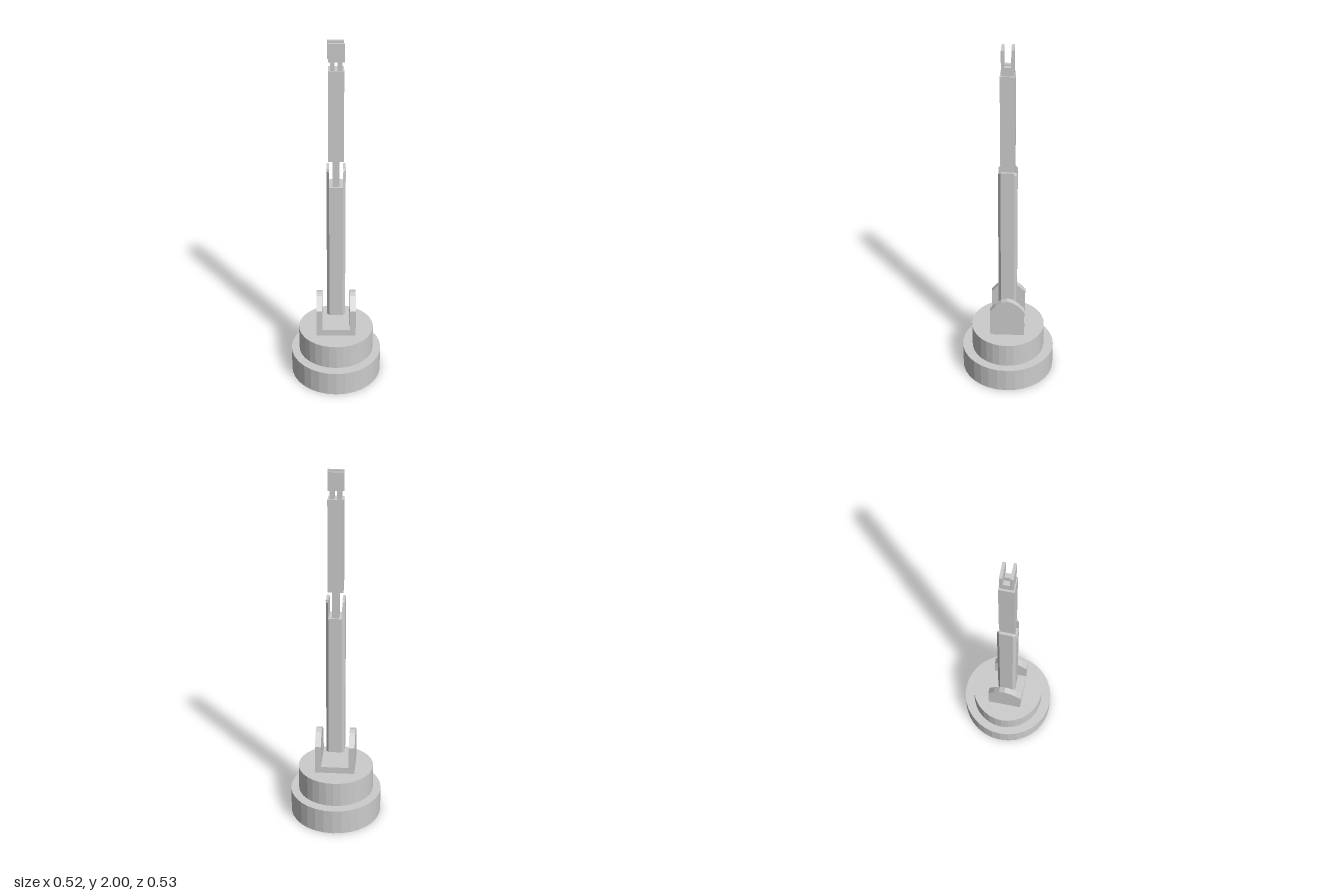
import * as THREE from 'three';

const material = new THREE.MeshStandardMaterial({ color: 0xcccccc, flatShading: true });

function add(parent, name, geometry, x = 0, y = 0, z = 0) {
  const mesh = new THREE.Mesh(geometry, material);
  mesh.name = name;
  mesh.position.set(x, y, z);
  parent.add(mesh);
  return mesh;
}

// Box given by its lower and upper corners
function block(parent, name, [x0, y0, z0], [x1, y1, z1]) {
  return add(parent, name, new THREE.BoxGeometry(x1 - x0, y1 - y0, z1 - z0),
    (x0 + x1) / 2, (y0 + y1) / 2, (z0 + z1) / 2);
}

function extrude(points, depth) {
  const shape = new THREE.Shape(points.map(([a, b]) => new THREE.Vector2(a, b)));
  return new THREE.ExtrudeGeometry(shape, { depth, bevelEnabled: false });
}

// Side profile in (z, y), extruded along x between x0 and x1
function sidePlate(points, x0, x1) {
  return extrude(points.map(([z, y]) => [-z, y]), x1 - x0).rotateY(Math.PI / 2).translate(x0, 0, 0);
}

export function createModel() {
  const model = new THREE.Group();
  model.name = 'jointedArm';

  // Stepped round base
  const lower = add(model, 'baseDisc', new THREE.CylinderGeometry(1, 1, 0.145, 32), 0, 0.0725);
  lower.scale.set(0.258, 1, 0.264);
  const turntable = add(model, 'turntable', new THREE.CylinderGeometry(1, 1, 0.145, 32), 0, 0.2175);
  turntable.scale.set(0.213, 1, 0.208);

  // Shoulder bracket: floor and two round-topped cheeks
  const bracket = new THREE.Group();
  bracket.name = 'shoulderBracket';
  model.add(bracket);
  block(bracket, 'bracketFloor', [-0.078, 0.29, -0.096], [0.078, 0.327, 0.096]);
  const arc = [[0.096, 0.455], [0.065, 0.491], [0.032, 0.516], [0, 0.525]];
  const cheek = [[-0.096, 0.29], [0.096, 0.29], ...arc,
    ...arc.slice(0, 3).reverse().map(([z, y]) => [-z, y])];
  for (const x of [-0.111, 0.078]) {
    add(bracket, 'bracketCheek', sidePlate(cheek, x, x + 0.033));
  }

  // Lower arm: bar with chamfered long edges
  const lowerArm = new THREE.Group();
  lowerArm.name = 'lowerArm';
  model.add(lowerArm);
  const w = 0.051, c = 0.037;
  const section = [[w, -c], [w, c], [c, w], [-c, w], [-w, c], [-w, -c], [-c, -w], [c, -w]];
  add(lowerArm, 'lowerArmBar', extrude(section, 0.815).rotateX(-Math.PI / 2), 0, 0.4);

  // Elbow ears: the outer face narrows to follow the bar's chamfers
  const ear = [[-w, 1.215], [w, 1.215], [w, 1.305], [c, 1.318], [-c, 1.318], [-w, 1.305]];
  for (const side of [1, -1]) {
    const geometry = side > 0 ? sidePlate(ear, c, w) : sidePlate(ear, -w, -c);
    const p = geometry.attributes.position;
    for (let i = 0; i < p.count; i++) {
      if (Math.abs(p.getX(i)) > 0.045) p.setZ(i, THREE.MathUtils.clamp(p.getZ(i), -c, c));
    }
    geometry.computeVertexNormals();
    add(lowerArm, 'elbowEar', geometry);
  }

  // Upper arm with its elbow tongue
  const upperArm = new THREE.Group();
  upperArm.name = 'upperArm';
  model.add(upperArm);
  block(upperArm, 'elbowTongue', [-0.019, 1.215, -0.039], [0.019, 1.36, 0.039]);
  block(upperArm, 'upperArmBar', [-0.041, 1.36, -0.039], [0.041, 1.86, 0.039]);

  // Gripper: two wrist rails carrying a pair of flat jaws
  const gripper = new THREE.Group();
  gripper.name = 'gripper';
  model.add(gripper);
  for (const x of [-0.031, 0.007]) {
    block(gripper, 'wristRail', [x, 1.86, -0.033], [x + 0.024, 1.905, 0.033]);
  }
  for (const side of [-1, 1]) {
    const jaw = block(gripper, 'gripperJaw', [-0.042, 1.905, -0.0075], [0.042, 2, 0.0075]);
    jaw.position.x = side * 0.002;
    jaw.position.z = side * 0.0255;
  }
  return model;
}
